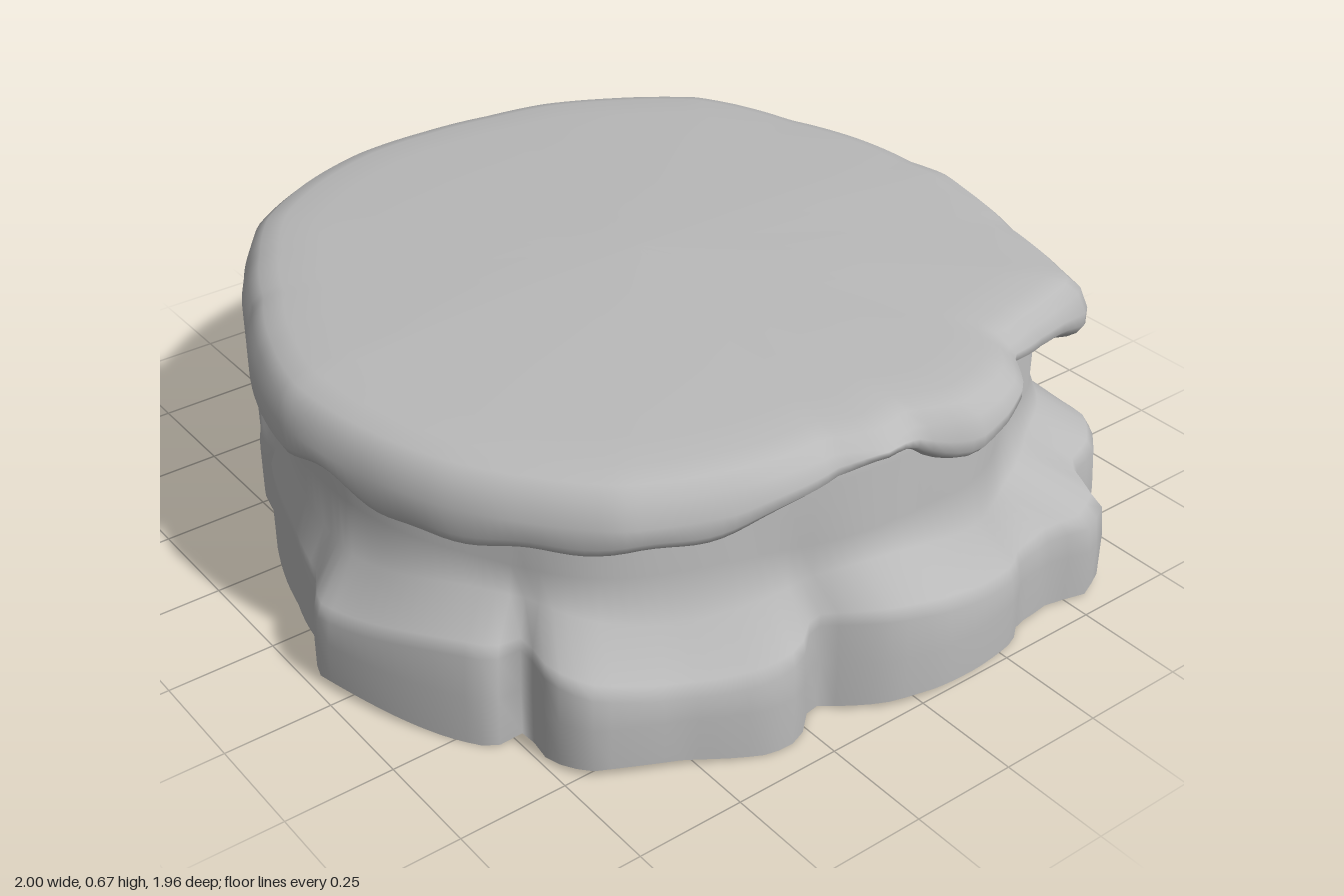
import * as THREE from 'three';

const TAU = Math.PI * 2;

// Radius lookup by angle (from +x towards +z) for an outline of [x, z] points
function outline(points) {
  const polar = points
    .map(([x, z]) => [(Math.atan2(z, x) + TAU) % TAU, Math.hypot(x, z)])
    .sort((a, b) => a[0] - b[0]);
  const n = polar.length;
  const ring = [
    [polar[n - 1][0] - TAU, polar[n - 1][1]],
    ...polar,
    [polar[0][0] + TAU, polar[0][1]],
  ];
  return (a) => {
    let i = 0;
    while (i < n && ring[i + 1][0] < a) i++;
    const [a0, r0] = ring[i], [a1, r1] = ring[i + 1];
    return r0 + ((r1 - r0) * (a - a0)) / (a1 - a0);
  };
}

// Smooth periodic lookup of values spaced evenly around the circle
function around(values) {
  const n = values.length;
  return (a) => {
    const f = (a / TAU) * n, i = Math.floor(f), t = f - i;
    const v = (k) => values[(i + k + n) % n];
    const m0 = (v(1) - v(-1)) / 2, m1 = (v(2) - v(0)) / 2;
    const t2 = t * t, t3 = t2 * t;
    return (2 * t3 - 3 * t2 + 1) * v(0) + (t3 - 2 * t2 + t) * m0
      + (3 * t2 - 2 * t3) * v(1) + (t3 - t2) * m1;
  };
}

// Closed loops running from the top downwards; section(a) returns [radius, y] pairs
function loft(section, columns) {
  const sections = Array.from({ length: columns }, (_, j) => section((j / columns) * TAU));
  const rows = sections[0].length;
  const position = [], index = [];
  for (let i = 0; i < rows; i++) {
    for (let j = 0; j < columns; j++) {
      const a = (j / columns) * TAU, [r, y] = sections[j][i];
      position.push(r * Math.cos(a), y, r * Math.sin(a));
      if (i === rows - 1) continue;
      const k = (j + 1) % columns;
      const p = i * columns + j, q = i * columns + k;
      index.push(p, q, p + columns, q, q + columns, p + columns);
    }
  }
  const g = new THREE.BufferGeometry();
  g.setAttribute('position', new THREE.Float32BufferAttribute(position, 3));
  g.setIndex(index);
  g.computeVertexNormals();
  return g;
}

// Foot of the stones, with the clefts between them
const footRadius = outline([
  [1, -0.05], [0.97, 0.06], [0.94, 0.11], [0.86, 0.2], [0.93, 0.28], [0.93, 0.36],
  [0.85, 0.52], [0.76, 0.7], [0.68, 0.74], [0.57, 0.72], [0.57, 0.8], [0.5, 0.85],
  [0.16, 0.98], [0.07, 0.92], [-0.1, 0.88], [-0.3, 0.82], [-0.36, 0.77], [-0.5, 0.74],
  [-0.65, 0.66], [-0.78, 0.6], [-0.88, 0.5], [-1, 0.25], [-1, 0.19], [-0.96, 0.16],
  [-0.97, 0.05], [-0.98, -0.05], [-0.96, -0.2], [-0.92, -0.36], [-0.84, -0.54],
  [-0.78, -0.6], [-0.75, -0.72], [-0.67, -0.8], [-0.58, -0.82], [-0.52, -0.94],
  [-0.45, -0.98], [-0.3, -0.95], [-0.15, -0.95], [0, -0.95], [0.15, -0.92],
  [0.3, -0.87], [0.4, -0.84], [0.55, -0.84], [0.7, -0.82], [0.78, -0.74],
  [0.8, -0.65], [0.92, -0.62], [0.95, -0.55], [0.92, -0.46], [0.93, -0.35],
  [0.97, -0.3], [1, -0.15],
]);

// Upper wall radius every 15 degrees
const wallRadius = around([
  0.86, 0.84, 0.86, 0.88, 0.87, 0.86, 0.86, 0.83, 0.82, 0.84, 0.87, 0.88,
  0.89, 0.89, 0.89, 0.91, 0.96, 0.86, 0.86, 0.87, 0.87, 0.91, 0.87, 0.89,
]);

// Wall rim height every 30 degrees
const wallTop = around([0.59, 0.56, 0.54, 0.54, 0.53, 0.52, 0.53, 0.53, 0.49, 0.54, 0.55, 0.57]);

// Edge of the cap
const capRadius = outline([
  [0.88, -0.05], [0.9, 0.05], [0.86, 0.15], [0.85, 0.3], [0.81, 0.45], [0.74, 0.6],
  [0.6, 0.73], [0.45, 0.83], [0.25, 0.9], [0, 0.93], [-0.2, 0.88], [-0.4, 0.79],
  [-0.6, 0.69], [-0.76, 0.58], [-0.88, 0.4], [-0.95, 0.2], [-0.96, 0], [-0.94, -0.2],
  [-0.91, -0.37], [-0.83, -0.53], [-0.68, -0.73], [-0.58, -0.78], [-0.4, -0.83],
  [-0.2, -0.89], [0, -0.9], [0.1, -0.92], [0.2, -0.9], [0.4, -0.84], [0.6, -0.79],
  [0.69, -0.76], [0.72, -0.65], [0.74, -0.55], [0.77, -0.43], [0.87, -0.36],
  [0.91, -0.28], [0.93, -0.18],
]);

// Height of the dripping lower edge every 10 degrees
const drip = around([
  0.57, 0.55, 0.51, 0.485, 0.48, 0.47, 0.46, 0.455, 0.49, 0.47, 0.445, 0.45,
  0.43, 0.40, 0.37, 0.37, 0.44, 0.46, 0.48, 0.51, 0.50, 0.48, 0.42, 0.50,
  0.51, 0.49, 0.48, 0.50, 0.52, 0.50, 0.52, 0.48, 0.53, 0.55, 0.55, 0.50,
]);

function wallSection(a) {
  const foot = footRadius(a);
  const upper = wallRadius(a) + 0.006 * Math.sin(a * 11);
  const shoulder = 0.225 + 0.025 * Math.sin(a * 7 + 1);
  const top = wallTop(a);
  const mix = (t) => upper + (foot - upper) * t;
  return [
    [upper * 0.98, top],
    [upper, top - 0.05],
    [upper, 0.39],
    [mix(0.14), shoulder + 0.075],
    [mix(0.85), shoulder],
    [foot * 0.993, shoulder - 0.03],
    [foot, 0.12],
    [foot, 0.01 + 0.01 * Math.sin(a * 9 + 2)],
  ];
}

function capSection(a) {
  const r = capRadius(a);
  // One long icicle hangs at the back
  const icicle = 0.13 * Math.exp(-(((a - 4.49) / 0.06) ** 2));
  const low = drip(a) - icicle + 0.006 * Math.sin(a * 23);
  const top = (k) => 0.67 - 0.032 * k * k - 0.02 * Math.max(0, -Math.cos(a) * k * r);
  const rim = top(0.9);
  const side = rim - low;
  return [
    [0, top(0)],
    [r * 0.3, top(0.3)],
    [r * 0.6, top(0.6)],
    [r * 0.8, top(0.8)],
    [r * 0.9, rim],
    [r * 0.95, rim - 0.015],
    [r * 0.98, rim - 0.04],
    [r, rim - Math.min(0.09, side * 0.6)],
    [r, low + side * 0.2],
    [r * 0.985, low + 0.01],
    [r * 0.965, low],
    [r * 0.945, low + 0.015],
    [r * 0.92, low + 0.04],
  ];
}

export function createModel() {
  const group = new THREE.Group();
  group.name = 'cappedStoneRing';

  const stone = new THREE.MeshStandardMaterial({ color: 0xb9b9b9, side: THREE.DoubleSide });
  stone.name = 'grey';

  // Ring of stones, open underneath
  const wall = new THREE.Mesh(loft(wallSection, 180), stone);
  wall.name = 'stoneWall';

  // Cap with a melted edge
  const cap = new THREE.Mesh(loft(capSection, 216), stone);
  cap.name = 'drippingCap';

  // Square slab carrying the cap inside the ring
  const slab = new THREE.Mesh(new THREE.BoxGeometry(1.26, 0.14, 1), stone);
  slab.name = 'innerSlab';
  slab.position.set(-0.02, 0.53, -0.02);

  group.add(wall, cap, slab);
  return group;
}
